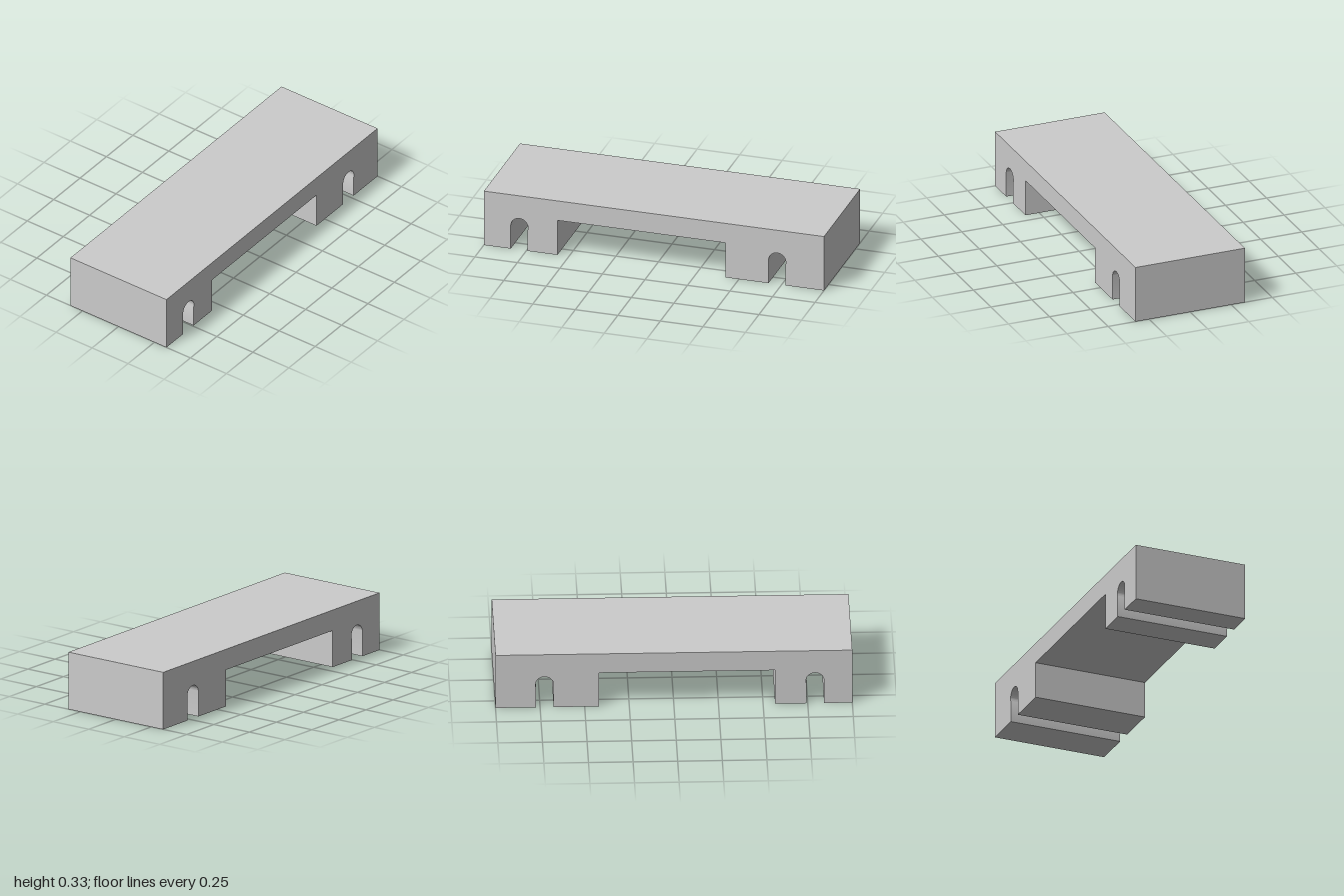
import * as THREE from 'three';
import { toCreasedNormals } from 'three/addons/utils/BufferGeometryUtils.js';

const HEIGHT = 0.333, DEPTH = 0.667;
const SLOT_RADIUS = 0.051, SLOT_CENTRE_Y = 0.142;

// Round-topped slot cut upward from the bottom edge, with a slight undercut on its +x side
function cutSlot(shape, x) {
  const undercut = -0.35;
  shape.lineTo(x - SLOT_RADIUS, 0);
  shape.lineTo(x - SLOT_RADIUS, SLOT_CENTRE_Y);
  shape.absarc(x, SLOT_CENTRE_Y, SLOT_RADIUS, Math.PI, undercut, true);
  shape.lineTo(x + SLOT_RADIUS * Math.cos(undercut), 0);
}

// Wide rectangular opening between the two feet
function cutOpening(shape, x0, x1, top) {
  shape.lineTo(x0, 0);
  shape.lineTo(x0, top);
  shape.lineTo(x1, top);
  shape.lineTo(x1, 0);
}

export function createModel() {
  const group = new THREE.Group();
  group.name = 'slottedBridgeBlock';

  // Outline of the block, seen from the front
  const profile = new THREE.Shape();
  profile.moveTo(-1, 0);
  cutSlot(profile, -0.791);
  cutOpening(profile, -0.567, 0.421, 0.213);
  cutSlot(profile, 0.725);
  profile.lineTo(1, 0);
  profile.lineTo(1, HEIGHT);
  profile.lineTo(-1, HEIGHT);
  profile.closePath();

  const geometry = new THREE.ExtrudeGeometry(profile, {
    depth: DEPTH, bevelEnabled: false, curveSegments: 24,
  });
  geometry.translate(0, 0, -DEPTH / 2);

  const body = new THREE.Mesh(
    toCreasedNormals(geometry, 0.5),
    new THREE.MeshStandardMaterial({ color: 0xcccccc }),
  );
  body.name = 'bridgeBody';
  group.add(body);
  return group;
}
